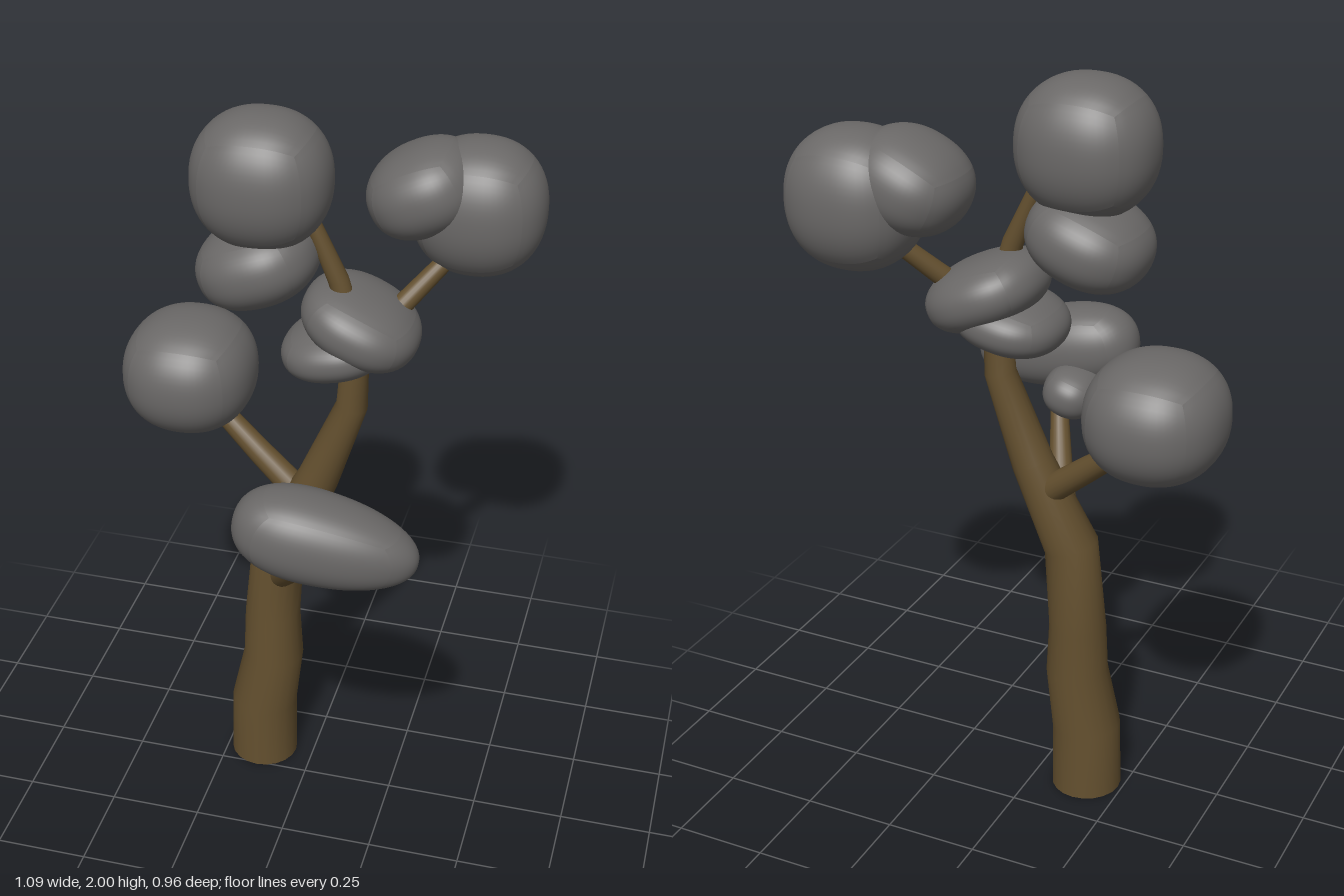
import * as THREE from 'three';

const bark = new THREE.MeshStandardMaterial({ color: 0x64502f });
bark.name = 'bark brown';
const leaf = new THREE.MeshStandardMaterial({ color: 0x6a6867 });
leaf.name = 'foliage grey';

// Tapered limb: a cylinder whose rows follow points [x, y, z, radius]
function limb(name, pts, sides = 20) {
  const n = pts.length - 1;
  const geo = new THREE.CylinderGeometry(1, 1, 1, sides, n);
  const at = pts.map(p => new THREE.Vector3(p[0], p[1], p[2]));
  const up = new THREE.Vector3(0, 1, 0);
  const turn = at.map((p, i) => {
    const before = at[Math.max(i - 1, 0)], after = at[Math.min(i + 1, n)];
    const dir = i > 0 && i < n
      ? after.clone().sub(p).normalize().add(p.clone().sub(before).normalize())
      : after.clone().sub(before);
    return new THREE.Quaternion().setFromUnitVectors(up, dir.normalize());
  });
  const pos = geo.attributes.position, nor = geo.attributes.normal;
  const v = new THREE.Vector3();
  for (let i = 0; i < pos.count; i++) {
    const row = Math.round((pos.getY(i) + 0.5) * n);
    v.set(pos.getX(i), 0, pos.getZ(i)).multiplyScalar(pts[row][3]);
    v.applyQuaternion(turn[row]).add(at[row]);
    pos.setXYZ(i, v.x, v.y, v.z);
    v.fromBufferAttribute(nor, i).applyQuaternion(turn[row]);
    nor.setXYZ(i, v.x, v.y, v.z);
  }
  const mesh = new THREE.Mesh(geo, bark);
  mesh.name = name;
  return mesh;
}

// Foliage clump: a rounded cube-sphere, slightly boxy, optionally tapering to +x
function clump({ name, at, size, tilt = 0, yaw = 0, taper = 0, power = 2.25 }) {
  const geo = new THREE.BoxGeometry(2, 2, 2, 16, 16, 16);
  const pos = geo.attributes.position;
  const v = new THREE.Vector3();
  for (let i = 0; i < pos.count; i++) {
    v.fromBufferAttribute(pos, i);
    v.set(Math.tan(v.x * Math.PI / 4), Math.tan(v.y * Math.PI / 4), Math.tan(v.z * Math.PI / 4)).normalize();
    const sum = Math.abs(v.x) ** power + Math.abs(v.y) ** power + Math.abs(v.z) ** power;
    v.multiplyScalar(sum ** (-1 / power));
    const k = 1 - taper * v.x;
    pos.setXYZ(i, v.x * size[0], v.y * size[1] * k, v.z * size[2] * k);
  }
  geo.computeVertexNormals();
  const mesh = new THREE.Mesh(geo, leaf);
  mesh.name = name;
  mesh.position.set(...at);
  mesh.rotation.set(0, yaw, tilt, 'YZX');
  return mesh;
}

export function createModel() {
  const tree = new THREE.Group();
  tree.name = 'tree';

  // Trunk and branches
  tree.add(
    limb('trunk', [
      [-0.145, 0, -0.085, 0.095], [-0.143, 0.19, -0.085, 0.093],
      [-0.115, 0.36, -0.087, 0.084], [-0.118, 0.5, -0.092, 0.077],
      [-0.1, 0.74, -0.096, 0.073], [0.01, 0.96, -0.098, 0.056],
      [0.1, 1.2, -0.1, 0.042], [0.11, 1.42, -0.1, 0.034]]),
    limb('frontBranch', [
      [-0.085, 0.65, -0.06, 0.038], [0.02, 0.81, 0.1, 0.034], [0.11, 1.0, 0.28, 0.022]]),
    limb('rightBranch', [
      [0, 0.86, -0.1, 0.04], [-0.16, 0.99, -0.135, 0.034], [-0.33, 1.13, -0.18, 0.026]]),
    limb('crownBranch', [
      [0.11, 1.38, -0.1, 0.032], [0.06, 1.56, -0.1, 0.027], [-0.03, 1.76, -0.1, 0.018]]),
    limb('leftBranch', [
      [0.11, 1.36, -0.1, 0.032], [0.22, 1.48, -0.19, 0.027], [0.34, 1.61, -0.28, 0.022]]));

  // Foliage clumps
  const clumps = [
    { name: 'crownClump', at: [-0.13, 1.825, -0.077], size: [0.178, 0.175, 0.16] },
    { name: 'crownLowerClump', at: [-0.145, 1.595, -0.09], size: [0.16, 0.11, 0.16], tilt: 0.35 },
    { name: 'rightClump', at: [-0.365, 1.2, -0.178], size: [0.178, 0.162, 0.19] },
    { name: 'leftClump', at: [0.37, 1.7, -0.322], size: [0.174, 0.178, 0.157] },
    { name: 'leftInnerClump', at: [0.237, 1.75, -0.285], size: [0.15, 0.115, 0.155], tilt: 0.45 },
    { name: 'middleClump', at: [0.115, 1.435, -0.13], size: [0.16, 0.09, 0.16], tilt: -0.42 },
    { name: 'middleLowerClump', at: [0.055, 1.365, -0.12], size: [0.145, 0.075, 0.15], tilt: 0.2 },
    { name: 'frontClump', at: [0.148, 1.09, 0.36], size: [0.234, 0.112, 0.114], tilt: -0.2, yaw: 0.1, taper: 0.16 },
    { name: 'frontSmallClump', at: [0.055, 1.01, 0.26], size: [0.08, 0.07, 0.1], tilt: 0.3 },
  ];
  clumps.forEach(c => tree.add(clump(c)));
  return tree;
}
